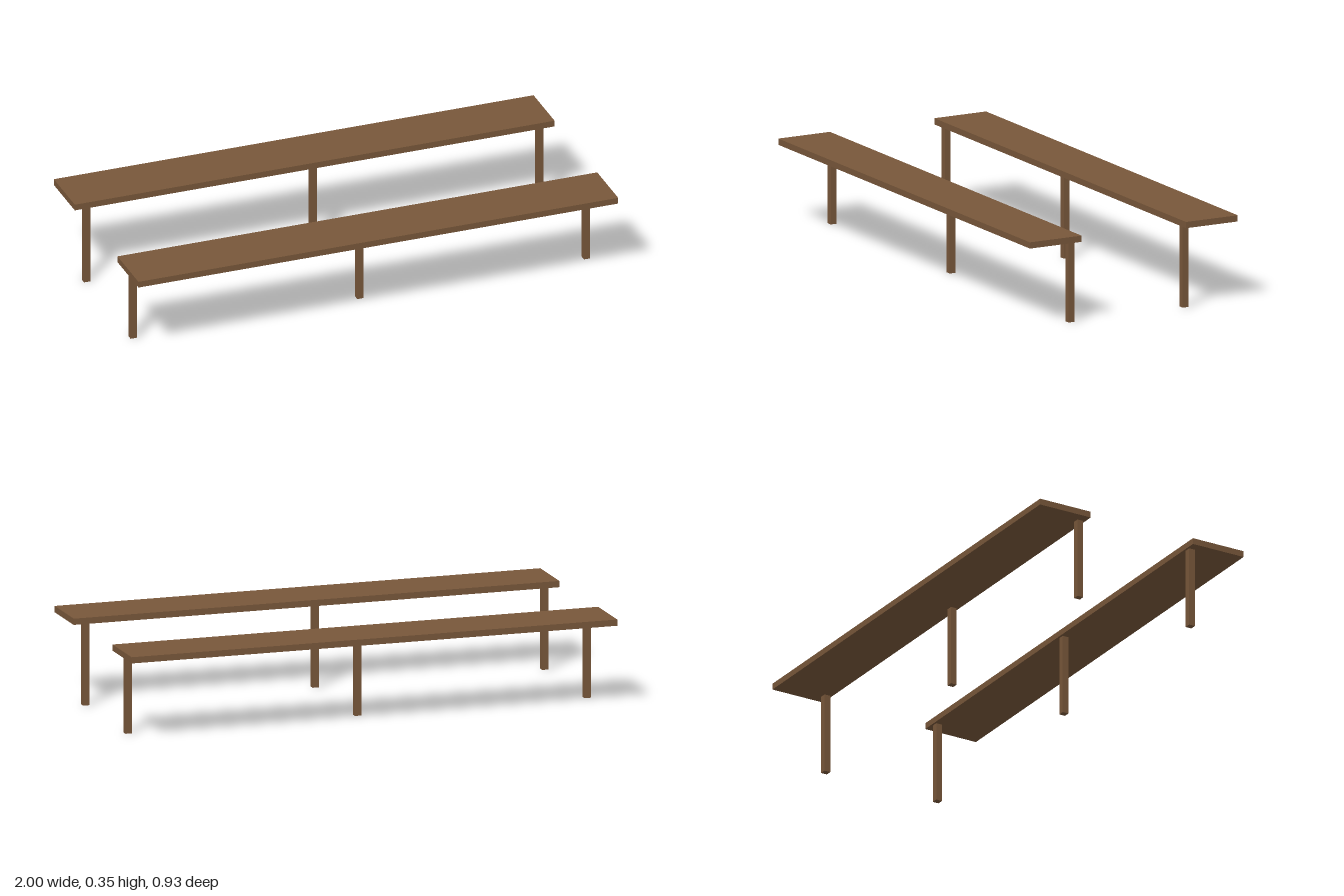
import * as THREE from 'three';

export function createModel() {
  const model = new THREE.Group();
  model.name = 'benchPair';
  const wood = new THREE.MeshStandardMaterial({ color: 0x78573a });
  wood.name = 'brown wood';

  const legHeight = 0.328, legSize = 0.026, seatThickness = 0.025;
  const seatGeometry = new THREE.BoxGeometry(2, seatThickness, 0.231);
  const legGeometry = new THREE.BoxGeometry(legSize, legHeight, legSize);

  const addPart = (parent, name, geometry, x, y, z) => {
    const mesh = new THREE.Mesh(geometry, wood);
    mesh.name = name;
    mesh.position.set(x, y, z);
    parent.add(mesh);
  };

  // Two mirrored benches, legs set near the inner edge of each seat
  for (const side of [1, -1]) {
    const bench = new THREE.Group();
    bench.name = side > 0 ? 'frontBench' : 'backBench';
    addPart(bench, 'seat', seatGeometry, 0, legHeight + seatThickness / 2, side * 0.349);
    [['rightLeg', -0.945], ['middleLeg', 0], ['leftLeg', 0.945]].forEach(([name, x]) =>
      addPart(bench, name, legGeometry, x, legHeight / 2, side * 0.255));
    model.add(bench);
  }
  return model;
}
